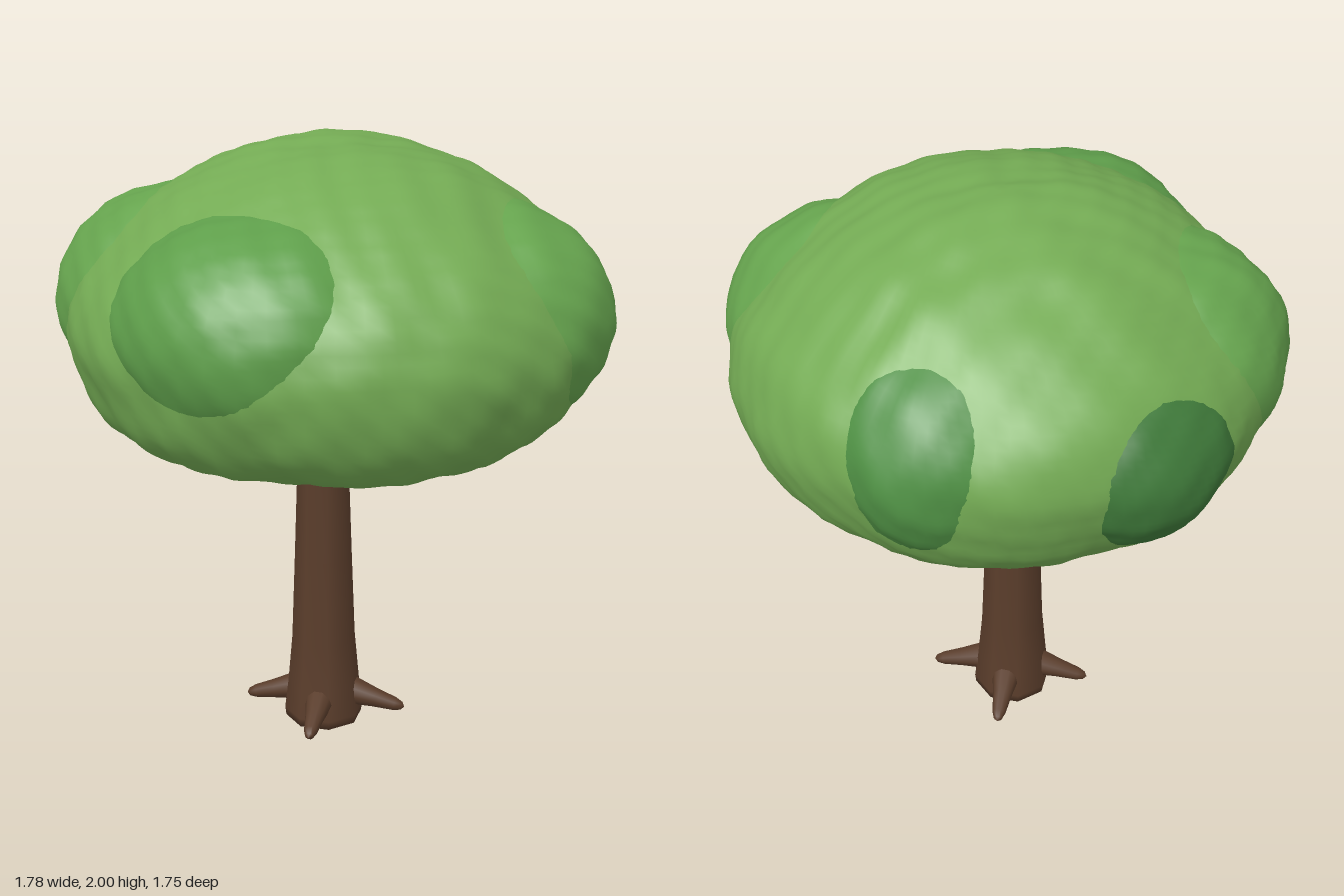
import * as THREE from 'three';
import { mergeVertices } from 'three/addons/utils/BufferGeometryUtils.js';

// Smooth, repeatable lumpiness from layered sine waves
function lump(x, y, z) {
  return 0.5 * Math.sin(9 * x + 2 * Math.sin(7 * z)) * Math.cos(8 * y + 5 * z)
    + 0.35 * Math.sin(17 * z + 11 * y) * Math.cos(19 * x - 6 * y)
    + 0.3 * Math.sin(37 * x + 23 * z) * Math.sin(41 * y - 29 * z + 13 * x);
}

// Weld the seams, push vertices along their normals and smooth the result
function roughen(geometry, amount) {
  geometry.deleteAttribute('uv');
  geometry.deleteAttribute('normal');
  const g = mergeVertices(geometry, 1e-4);
  g.computeVertexNormals();
  const p = g.attributes.position, n = g.attributes.normal;
  for (let i = 0; i < p.count; i++) {
    const d = amount * lump(p.getX(i), p.getY(i), p.getZ(i));
    p.setXYZ(i, p.getX(i) + d * n.getX(i), p.getY(i) + d * n.getY(i), p.getZ(i) + d * n.getZ(i));
  }
  g.computeVertexNormals();
  return g;
}

function add(group, name, geometry, color) {
  const mesh = new THREE.Mesh(geometry, new THREE.MeshStandardMaterial({ color }));
  mesh.name = name;
  group.add(mesh);
  return mesh;
}

export function createModel() {
  const tree = new THREE.Group();
  tree.name = 'tree';
  const bark = 0x5a3d2b;

  // Trunk: eight sides, flared at the foot, top hidden in the crown
  const trunkProfile = [[0, 0], [0.13, 0], [0.134, 0.03], [0.122, 0.13], [0.107, 0.3],
    [0.096, 0.6], [0.086, 0.9], [0.082, 1.2], [0, 1.2]].map(([r, y]) => new THREE.Vector2(r, y));
  const trunk = add(tree, 'trunk', new THREE.LatheGeometry(trunkProfile, 8, Math.PI / 8), bark);
  trunk.position.set(-0.035, 0, 0.022);

  // Roots: tapered stubs sloping outwards on four sides
  const rootProfile = [[0.058, 0], [0.05, 0.09], [0.033, 0.18], [0.023, 0.25], [0.014, 0.275], [0, 0.285]]
    .map(([r, y]) => new THREE.Vector2(r, y));
  for (let i = 0; i < 4; i++) {
    const pivot = new THREE.Group();
    pivot.name = 'root' + (i + 1);
    pivot.position.set(-0.03, 0.118, 0.02);
    pivot.rotation.y = i * Math.PI / 2 + 0.06;
    const root = add(pivot, 'rootStub', new THREE.LatheGeometry(rootProfile, 10), bark);
    root.rotation.z = -Math.PI / 2 - 0.25;
    tree.add(pivot);
  }

  // Crown: a broad dome with a nearly flat underside
  const crownProfile = new THREE.SplineCurve([[0, 1.03], [0.35, 1.035], [0.62, 1.075], [0.76, 1.17],
    [0.83, 1.32], [0.845, 1.45], [0.79, 1.6], [0.66, 1.745], [0.45, 1.885], [0.22, 1.97], [0, 1.995]]
    .map(([r, y]) => new THREE.Vector2(r, y))).getSpacedPoints(64);
  crownProfile[0].x = crownProfile[64].x = 0;
  add(tree, 'crown', roughen(new THREE.LatheGeometry(crownProfile, 120), 0.014), 0x74ab54);

  // Leaf clumps bulging from the crown: centre, radii, colour
  const clumps = [
    ['frontClump', [-0.1, 1.5, 0.46], [0.46, 0.35, 0.41], 0x5f9f4b],
    ['leftClump', [0.48, 1.46, 0.03], [0.41, 0.37, 0.42], 0x66a44e],
    ['rightClump', [-0.48, 1.47, 0.05], [0.41, 0.37, 0.42], 0x66a44e],
    ['backClump', [0.05, 1.44, -0.47], [0.37, 0.35, 0.4], 0x4f9044],
    ['backRightClump', [-0.41, 1.4, -0.36], [0.36, 0.3, 0.35], 0x3f7a3a],
  ];
  for (const [name, centre, radii, color] of clumps) {
    const ball = new THREE.SphereGeometry(1, 64, 40).scale(...radii).translate(...centre);
    add(tree, name, roughen(ball, 0.014), color);
  }
  return tree;
}
